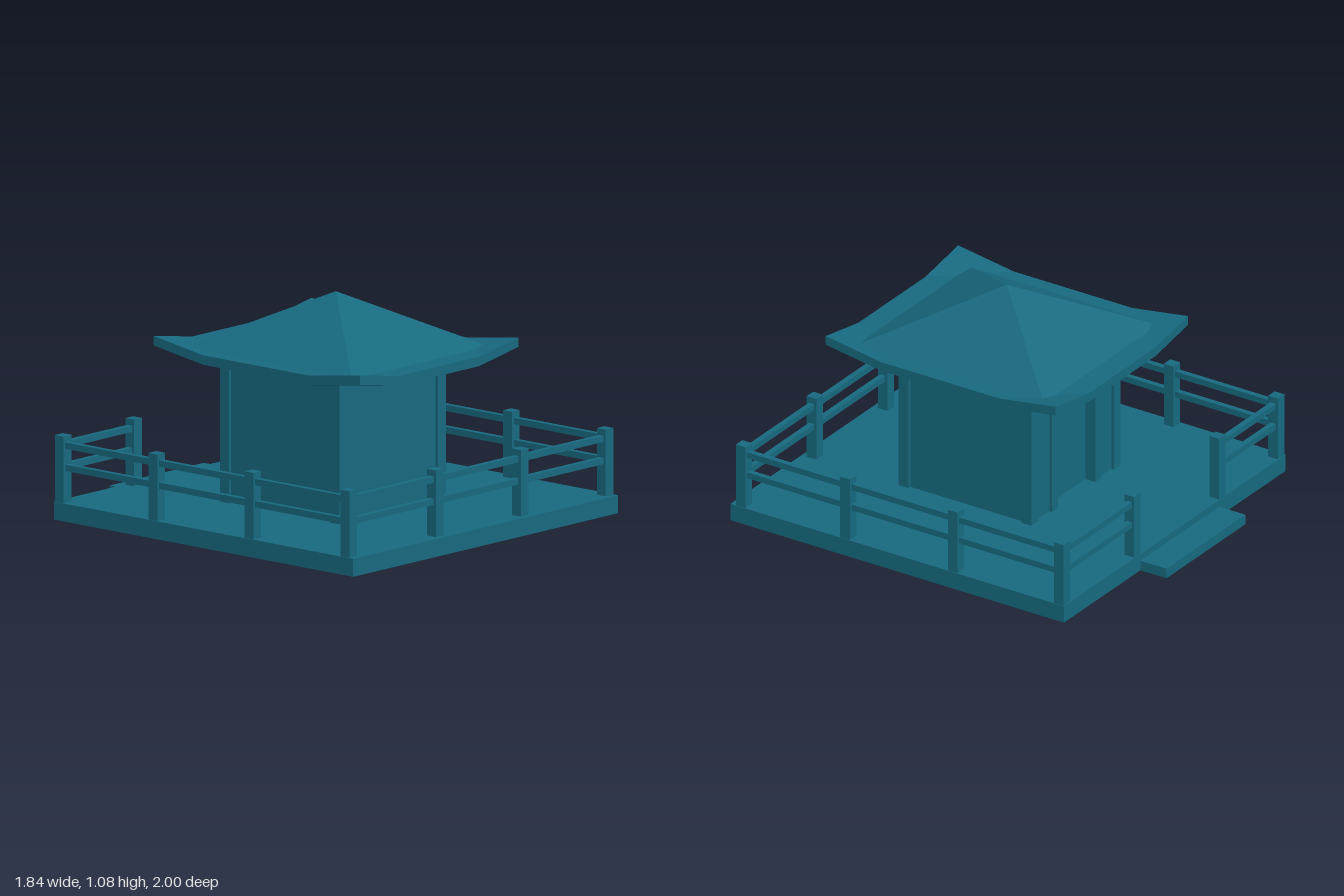
import * as THREE from 'three';

const mat = new THREE.MeshStandardMaterial({ color: 0x17697f, flatShading: true });

export function createModel() {
  const root = new THREE.Group();
  const add = (name, geo, parent = root) => {
    const m = new THREE.Mesh(geo, mat);
    m.name = name;
    parent.add(m);
    return m;
  };
  // Box given by its min and max on each axis
  const box = (name, x0, x1, y0, y1, z0, z1, parent) =>
    add(name, new THREE.BoxGeometry(x1 - x0, y1 - y0, z1 - z0), parent)
      .position.set((x0 + x1) / 2, (y0 + y1) / 2, (z0 + z1) / 2);

  // Platform and entrance step
  const deck = 0.085;
  box('platform', -0.92, 0.92, 0, deck, -0.855, 1);
  box('entranceStep', -0.37, 0.285, 0, 0.05, -1, -0.855);

  // Railing: one run of posts from the back gap around to the other side
  const railing = new THREE.Group();
  railing.name = 'railing';
  root.add(railing);
  const posts = [
    [-0.4, -0.825], [-0.888, -0.825], [-0.888, -0.245], [-0.888, 0.35], [-0.888, 0.945],
    [-0.288, 0.945], [0.302, 0.945], [0.89, 0.945], [0.89, 0.365], [0.89, -0.235],
    [0.89, -0.825], [0.305, -0.825],
  ];
  posts.forEach(([x, z], i) => {
    const h = 0.027, r = 0.014;
    box('railingPost', x - h, x + h, deck, 0.4, z - h, z + h, railing);
    if (i === posts.length - 1) return;
    const [nx, nz] = posts[i + 1];
    for (const y of [0.235, 0.34]) {
      const alongX = Math.abs(nx - x) > Math.abs(nz - z);
      const px = alongX ? 0 : r, pz = alongX ? r : 0;
      box('railingRail', Math.min(x, nx) - px, Math.max(x, nx) + px, y, y + 0.03,
        Math.min(z, nz) - pz, Math.max(z, nz) + pz, railing);
    }
  });

  // House: corner pillars, thin walls slightly inset, recessed door at the back
  const house = new THREE.Group();
  house.name = 'house';
  root.add(house);
  const top = 0.8, x0 = -0.41, x1 = 0.33, z0 = -0.28, z1 = 0.46, p = 0.056, inset = 0.015, t = 0.03;
  for (const x of [x0, x1 - p])
    for (const z of [z0, z1 - p]) box('cornerPillar', x, x + p, deck, top, z, z + p, house);
  box('frontWall', x0 + p, x1 - p, deck, top, z1 - inset - t, z1 - inset, house);
  box('rightWall', x0 + inset, x0 + inset + t, deck, top, z0 + p, z1 - p, house);
  box('leftWall', x1 - inset - t, x1 - inset, deck, top, z0 + p, z1 - p, house);
  box('backWall', x0 + p, -0.24, deck, top, z0 + inset, z0 + inset + t, house);
  box('backWall', 0.15, x1 - p, deck, top, z0 + inset, z0 + inset + t, house);
  box('doorPost', -0.25, -0.2, deck, top, z0, z0 + 0.07, house);
  box('doorPost', 0.11, 0.16, deck, top, z0, z0 + 0.07, house);
  box('door', -0.2, 0.11, deck, top, z0 + 0.055, z0 + 0.08, house);

  // Roof: eave slab with upturned corners and a pyramid on top
  const roof = new THREE.Group();
  roof.name = 'roof';
  roof.position.set(-0.032, 0, 0.1);
  root.add(roof);
  add('eaves', eaveGeometry(0.55, 0.64, 0.27, 0.31, 0.768, 0.045, 0.047), roof);
  const pyramid = new THREE.ConeGeometry(Math.SQRT2, 0.275, 4, 1).rotateY(Math.PI / 4);
  pyramid.scale(0.5, 1, 0.55);
  add('roofPyramid', pyramid, roof).position.y = 0.8 + 0.1375;

  return root;
}

// Rectangular slab whose corner triangles (legs cx, cz) fold upward by lift
function eaveGeometry(hx, hz, cx, cz, y, thick, lift) {
  const ring = [];
  for (const [sx, sz] of [[1, 1], [1, -1], [-1, -1], [-1, 1]]) {
    const onZ = [sx * (hx - cx), y, sz * hz];
    const onX = [sx * hx, y, sz * (hz - cz)];
    const corner = [sx * hx, y + lift, sz * hz];
    ring.push(...(sx * sz > 0 ? [onZ, corner, onX] : [onX, corner, onZ]));
  }
  const up = ([a, b, c]) => [a, b + thick, c];
  const pos = [];
  const tri = (...v) => v.forEach((q) => pos.push(...q));
  const cap = (a, b, c) => { tri(up(a), up(b), up(c)); tri(a, c, b); };
  for (let i = 0; i < 12; i++) {
    const a = ring[i], b = ring[(i + 1) % 12], c = ring[(i + 2) % 12];
    tri(a, b, up(b));
    tri(a, up(b), up(a));
    if (i % 3 === 0) {
      cap(a, b, c);
      cap([0, y, 0], a, c);
    }
    if (i % 3 === 2) cap([0, y, 0], a, b);
  }
  const g = new THREE.BufferGeometry();
  g.setAttribute('position', new THREE.Float32BufferAttribute(pos, 3));
  g.computeVertexNormals();
  return g;
}
